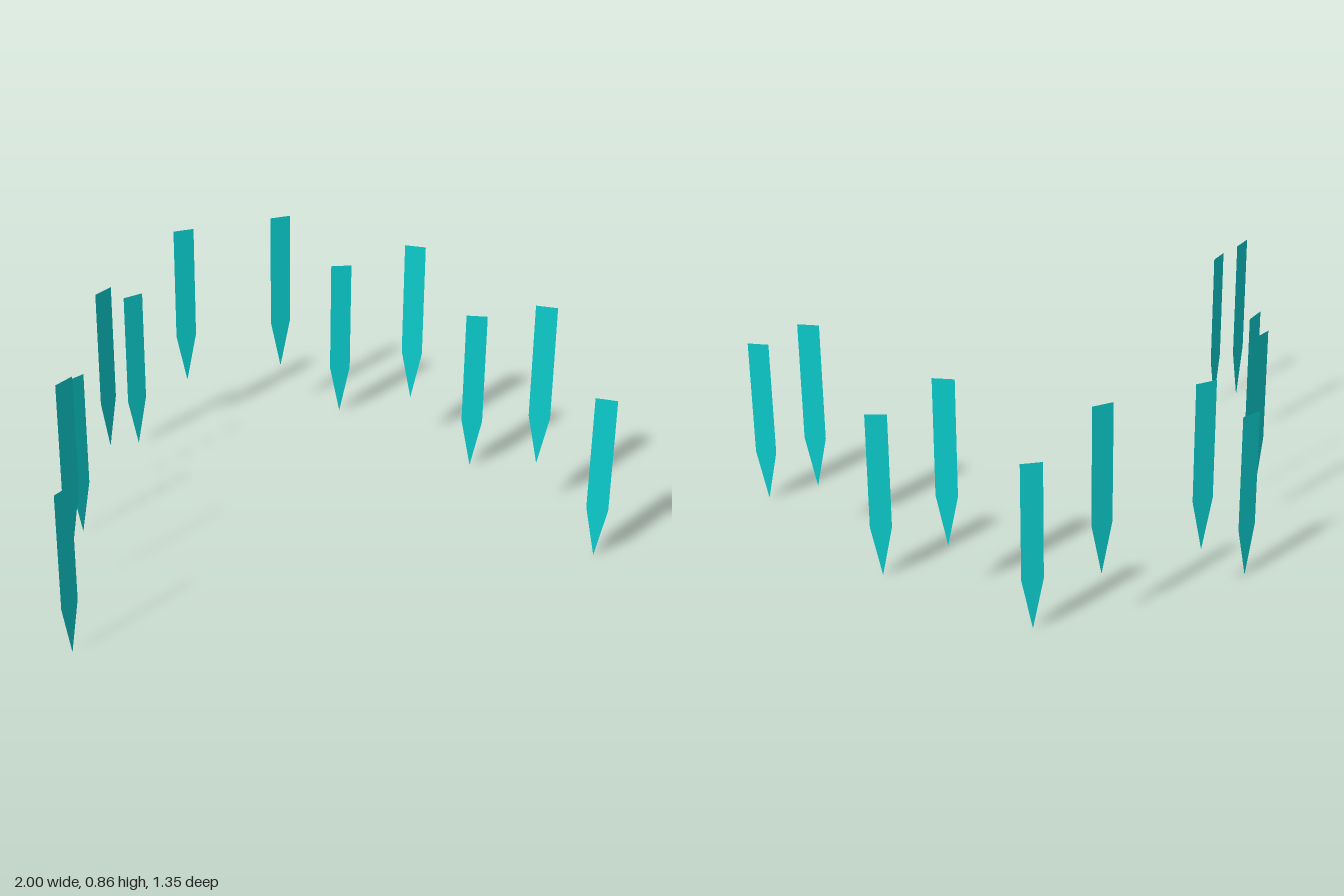
import * as THREE from 'three';

export function createModel() {
  const model = new THREE.Group();
  model.name = 'hangingBanners';
  const material = new THREE.MeshStandardMaterial({ color: 0x0cd2d2, side: THREE.DoubleSide });

  // One flat banner: a long strip with a pointed lower end, tip at y = 0
  const half = 0.0395, shoulder = 0.2, height = 0.655;
  const outline = new THREE.Shape();
  outline.moveTo(0, 0);
  outline.lineTo(half, shoulder);
  outline.lineTo(half, height);
  outline.lineTo(-half, height);
  outline.lineTo(-half, shoulder);
  outline.closePath();
  const bannerGeometry = new THREE.ShapeGeometry(outline);

  // Left half of the arch, back to front: x, z, turn; high and low alternate
  const placements = [
    [0.193, -0.677, 0],
    [0.418, -0.6, 0.236],
    [0.6, -0.282, 0.556],
    [0.767, -0.054, 0.43],
    [0.876, 0.313, 0.565],
    [0.967, 0.655, 0.583],
  ];
  placements.forEach(([x, z, turn], i) => {
    const high = i % 2 === 0;
    for (const side of [1, -1]) {
      const banner = new THREE.Mesh(bannerGeometry, material);
      banner.name = `${high ? 'high' : 'low'}Banner${side > 0 ? 'Left' : 'Right'}${Math.floor(i / 2) + 1}`;
      banner.position.set(side * x, high ? 0.207 : 0, z);
      banner.rotation.y = -side * turn;
      model.add(banner);
    }
  });
  return model;
}
